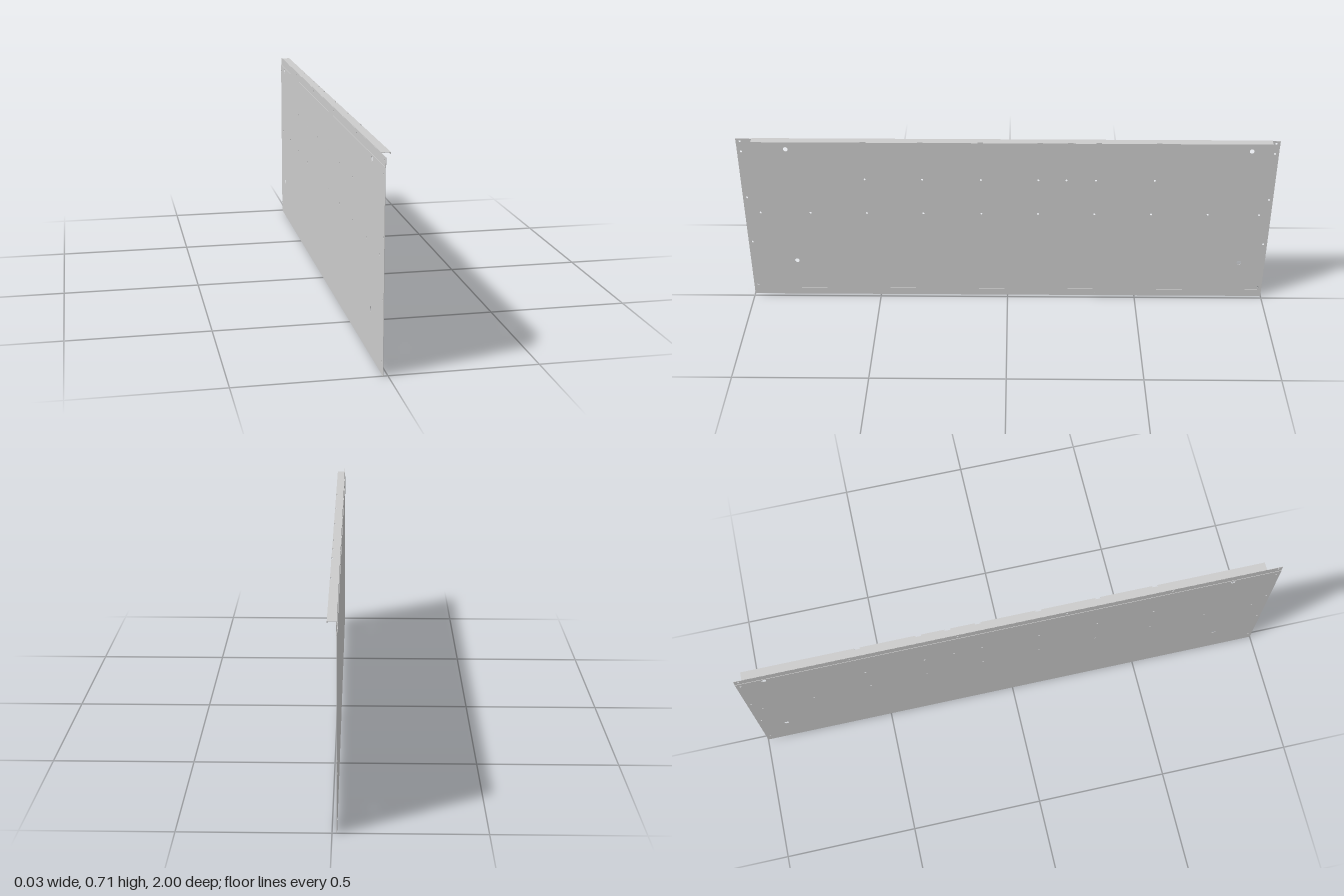
import * as THREE from 'three';

const material = new THREE.MeshStandardMaterial({ color: 0xcccccc, side: THREE.DoubleSide });
const T = 0.0016; // sheet thickness
const X0 = -0.0164; // outer face of the panel

// Flat sheet in the z-y plane with round holes [z, y, radius]
function sheet(name, z0, z1, y0, y1, x, holes = []) {
  const shape = new THREE.Shape();
  shape.moveTo(z0, y0).lineTo(z1, y0).lineTo(z1, y1).lineTo(z0, y1).closePath();
  for (const [z, y, r] of holes) {
    shape.holes.push(new THREE.Path().absarc(z, y, r, 0, Math.PI * 2, true));
  }
  const geometry = new THREE.ExtrudeGeometry(shape, { depth: T, bevelEnabled: false, curveSegments: 8 });
  geometry.rotateY(-Math.PI / 2).translate(x + T, 0, 0);
  const mesh = new THREE.Mesh(geometry, material);
  mesh.name = name;
  return mesh;
}

function box(name, w, h, d, x, y, z) {
  const mesh = new THREE.Mesh(new THREE.BoxGeometry(w, h, d), material);
  mesh.name = name;
  mesh.position.set(x, y, z);
  return mesh;
}

export function createModel() {
  const group = new THREE.Group();
  group.name = 'flangedPanel';
  const small = 0.004, large = 0.009;

  // Main panel with fixing holes
  const holes = [];
  for (const z of [0.82, -0.9]) for (const y of [0.16, 0.66]) holes.push([z, y, large]);
  for (const z of [0.985, -0.985]) for (const y of [0.043, 0.247, 0.449, 0.65]) holes.push([z, y, small]);
  for (const z of [0.535, 0.32, 0.1, -0.115, -0.22, -0.33, -0.55]) holes.push([z, 0.531, small]);
  for (const z of [0.94, 0.75, 0.535, 0.32, 0.1, -0.115, -0.33, -0.545, -0.76, -0.955]) {
    holes.push([z, 0.381, small]);
  }
  group.add(sheet('panel', -1, 1, 0, 0.674, X0, holes));

  // Upper strip, stepped inward by one sheet thickness
  const topHoles = [0.985, 0.59, 0.2, -0.2, -0.59, -0.985].map((z) => [z, 0.694, small]);
  group.add(sheet('upperStrip', -1, 1, 0.672, 0.705, X0 + T, topHoles));

  // Folded hem along the bottom, split by two narrow gaps
  for (const [a, b] of [[-0.985, -0.345], [-0.335, 0.335], [0.345, 0.985]]) {
    group.add(sheet('bottomHem', a, b, 0, 0.03, X0 + T * 0.6));
  }

  // Top flange, shorter than the panel, with its turned-down lip notched
  const zBack = -0.97, zFront = 0.94, xIn = X0 + T, xOut = 0.0155;
  const fullDepth = zFront - zBack, zMid = (zFront + zBack) / 2;
  const inner = xOut - 0.005;
  group.add(box('topFlange', inner - xIn, T, fullDepth, (inner + xIn) / 2, 0.707 - T / 2, zMid));

  const notches = [-0.555, -0.335, -0.23, -0.12, 0.1, 0.32, 0.53];
  let start = zBack;
  for (const stop of [...notches, zFront + 0.01]) {
    const end = stop - 0.01, d = end - start, z = (start + end) / 2;
    group.add(box('flangeEdge', xOut - inner, T, d, (xOut + inner) / 2, 0.707 - T / 2, z));
    group.add(box('flangeLip', T, 0.007, d, xOut - T / 2, 0.7035, z));
    start = stop + 0.01;
  }
  return group;
}
